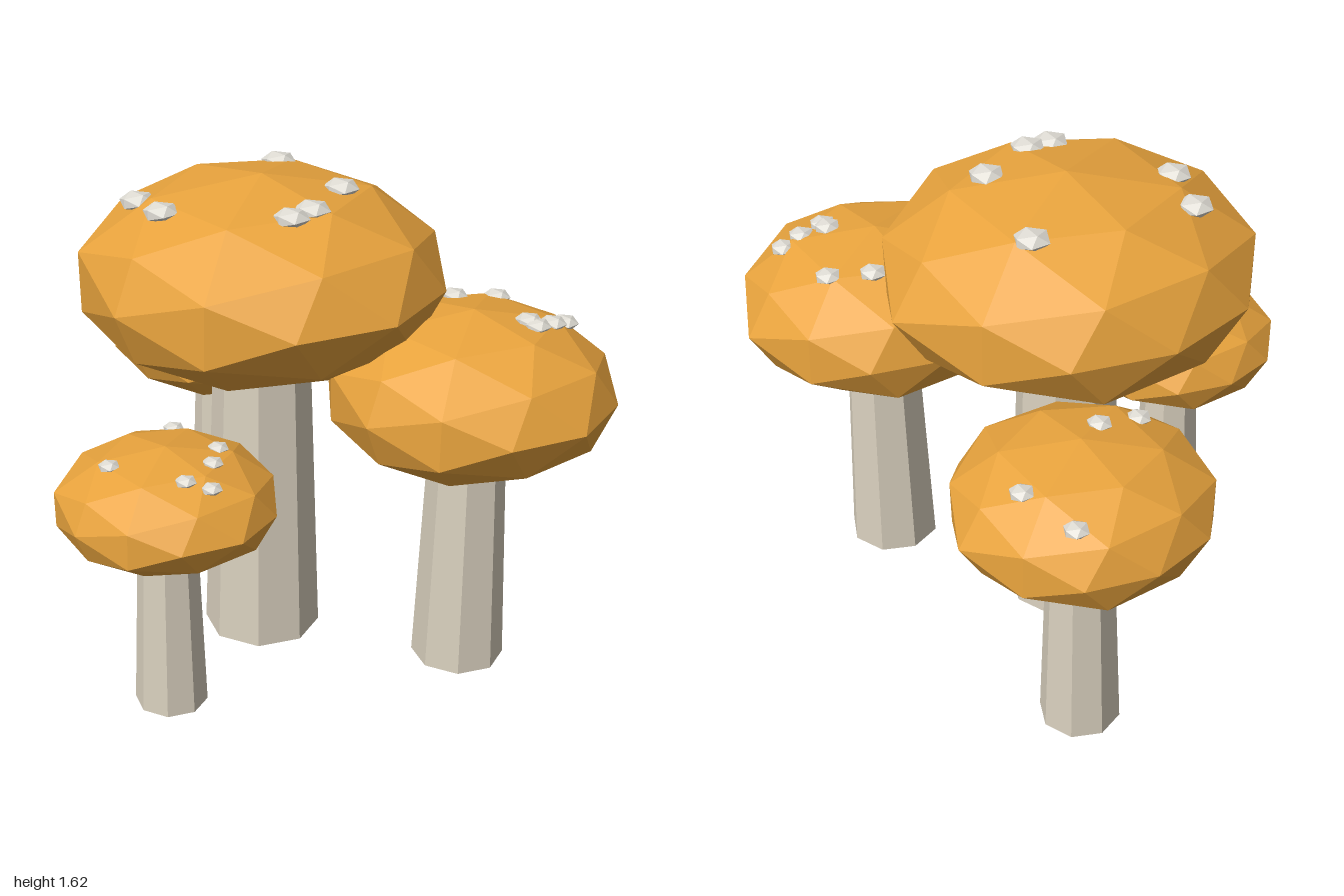
import * as THREE from 'three';

const mat = (color) => new THREE.MeshStandardMaterial({ color, flatShading: true });
const capMat = mat(0xe8a33d);
const stemMat = mat(0xd9d0be);
const spotMat = mat(0xe0ddd5);

// x, z: foot; r: stem radius; cy, rx, ry: cap centre height and radii; spots: [x, z]
const mushrooms = [
  { name: 'tallMushroom', x: -0.045, z: -0.045, r: 0.195, cy: 1.29, rx: 0.6, ry: 0.325,
    spots: [[-0.24, -0.29], [0.13, -0.22], [0.215, -0.02], [0.215, 0.065], [-0.3, 0.25], [-0.13, 0.29]] },
  { name: 'leftMushroom', x: 0.548, z: -0.4, r: 0.153, cy: 0.98, rx: 0.465, ry: 0.265,
    spots: [[0.435, -0.63], [0.36, -0.51], [0.695, -0.66], [0.705, -0.59], [0.675, -0.51], [0.71, -0.51]] },
  { name: 'rightMushroom', x: -0.595, z: -0.35, r: 0.13, cy: 0.857, rx: 0.41, ry: 0.228,
    spots: [[-0.845, -0.53], [-0.655, -0.59], [-0.54, -0.25], [-0.54, -0.11]] },
  { name: 'frontMushroom', x: 0.13, z: 0.5, r: 0.117, cy: 0.725, rx: 0.355, ry: 0.186,
    spots: [[0.07, 0.67], [0.3, 0.56], [0.36, 0.51], [0.27, 0.43], [0.2, 0.35], [-0.03, 0.34]] },
];

// Faceted cap: a flattened icosphere whose corners are pushed in or out slightly
function capGeometry(rx, ry) {
  const geo = new THREE.IcosahedronGeometry(1, 1);
  const pos = geo.attributes.position;
  const v = new THREE.Vector3();
  for (let i = 0; i < pos.count; i++) {
    v.fromBufferAttribute(pos, i);
    // the same corner always gets the same push
    const k = 1 + 0.02 * Math.sin(v.x * 7.3 + v.y * 12.1 + v.z * 17.7);
    pos.setXYZ(i, v.x * k * rx, v.y * ry, v.z * k * rx);
  }
  geo.computeVertexNormals();
  return geo;
}

function createMushroom({ name, x, z, r, cy, rx, ry, spots }) {
  const group = new THREE.Group();
  group.name = name;
  group.position.set(x, 0, z);

  // Tapered eight-sided stem, ending inside the cap
  const height = cy - ry * 0.6;
  const stem = new THREE.Mesh(new THREE.CylinderGeometry(r * 0.8, r, height, 8), stemMat);
  stem.name = 'stem';
  stem.position.y = height / 2;
  group.add(stem);

  const cap = new THREE.Mesh(capGeometry(rx, ry), capMat);
  cap.name = 'cap';
  cap.position.y = cy;
  group.add(cap);

  // Flattened spots resting on the cap
  const spotGeo = new THREE.IcosahedronGeometry(rx * 0.1, 0).scale(1, 0.5, 1);
  for (const [sx, sz] of spots) {
    const dx = sx - x, dz = sz - z;
    const rise = Math.sqrt(1 - (dx * dx + dz * dz) / (rx * rx));
    const spot = new THREE.Mesh(spotGeo, spotMat);
    spot.name = 'spot';
    spot.position.set(dx, cy + ry * rise * 0.955, dz);
    group.add(spot);
  }
  return group;
}

export function createModel() {
  const model = new THREE.Group();
  model.name = 'mushroomCluster';
  for (const m of mushrooms) model.add(createMushroom(m));
  return model;
}
